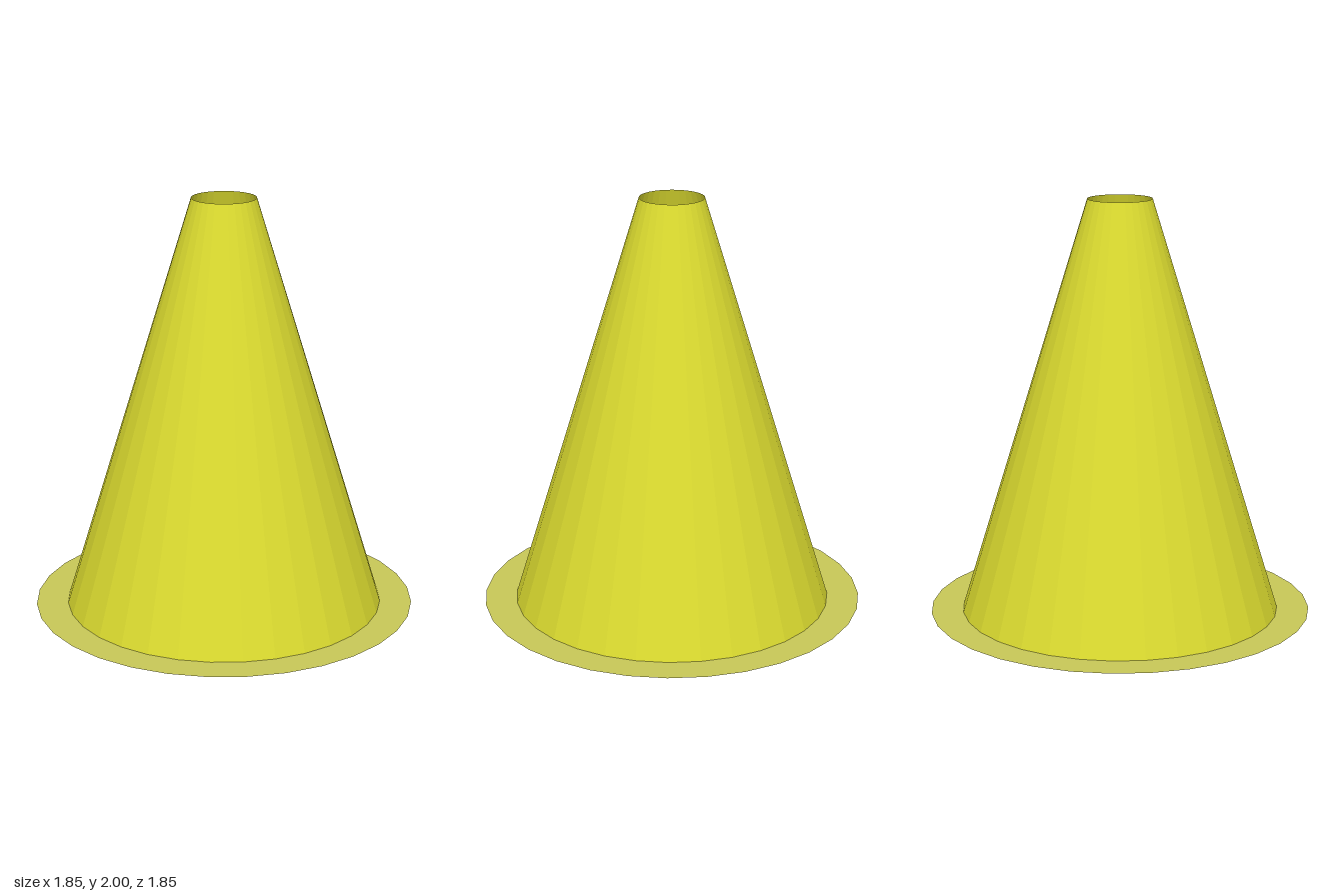
import * as THREE from 'three';

const SEGMENTS = 32;
const UNIT = 2 / 2.6; // base radius of the cone

function addPart(group, name, geometry, color) {
  const material = new THREE.MeshStandardMaterial({ color, flatShading: true, side: THREE.DoubleSide });
  const mesh = new THREE.Mesh(geometry, material);
  mesh.name = name;
  group.add(mesh);
}

export function createModel() {
  const group = new THREE.Group();
  group.name = 'openCone';

  // Hollow tapered shell, open at both ends
  const shell = new THREE.CylinderGeometry(0.2 * UNIT, UNIT, 2, SEGMENTS, 1, true);
  shell.translate(0, 1, 0);
  addPart(group, 'coneShell', shell, 0xdddd30);

  // Flat paper-thin brim around the foot
  const brim = new THREE.RingGeometry(UNIT, 1.2 * UNIT, SEGMENTS);
  brim.rotateX(-Math.PI / 2);
  addPart(group, 'brim', brim, 0xc8c858);

  return group;
}
